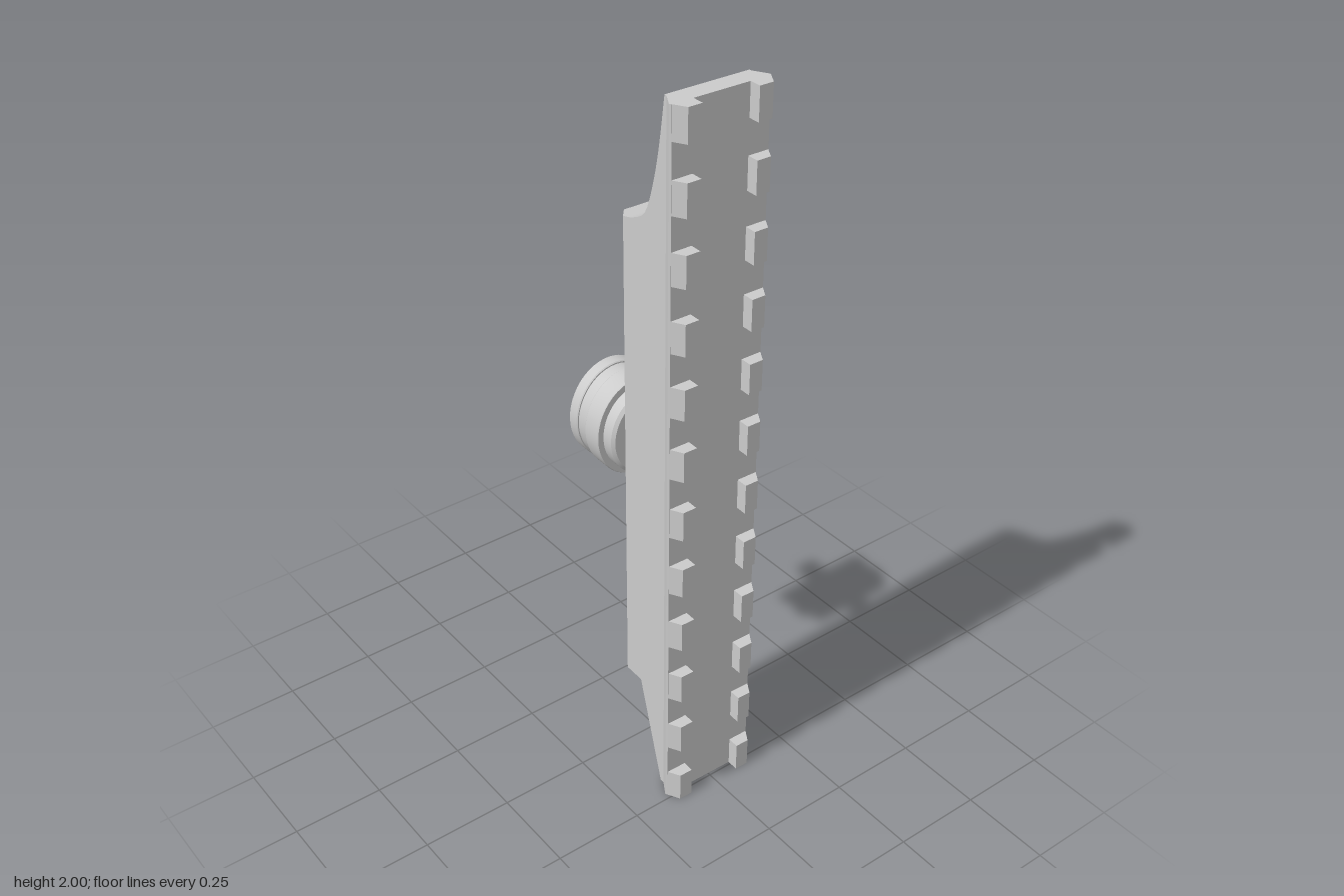
import * as THREE from 'three';
import { toCreasedNormals } from 'three/addons/utils/BufferGeometryUtils.js';

const material = new THREE.MeshStandardMaterial({ color: 0xcccccc });

function part(name, geometry) {
  const mesh = new THREE.Mesh(geometry, material);
  mesh.name = name;
  return mesh;
}

// Cross-section of the rail, cut off at the back depth zb; listed from the left back to the right back.
function railSection(zb) {
  const backWidth = 0.086 + 0.029 * Math.min(1, Math.max(0, zb) / 0.034);
  const half = [
    [backWidth, zb],
    [0.115, Math.max(0.034, zb)],
    [0.115, Math.max(0.197, zb)],
    [0.137, 0.235],
    [0.134, 0.241],
  ];
  return [...half, ...half.map(([x, z]) => [-x, z]).reverse()];
}

// Loft a list of [y, backDepth] rings into a closed solid.
function loftRail(rings) {
  const positions = [], index = [];
  const n = 10;
  for (const [y, zb] of rings) {
    for (const [x, z] of railSection(zb)) positions.push(x, y, z);
  }
  for (let r = 0; r < rings.length - 1; r++) {
    for (let i = 0; i < n; i++) {
      const a = r * n + i, b = r * n + (i + 1) % n;
      index.push(a, a + n, b, b, a + n, b + n);
    }
  }
  // End caps, strips between mirrored points
  const top = (rings.length - 1) * n;
  for (let i = 0; i < n / 2 - 1; i++) {
    const a = i, b = i + 1, c = n - 2 - i, d = n - 1 - i;
    index.push(a, b, c, a, c, d);
    index.push(top + a, top + c, top + b, top + a, top + d, top + c);
  }
  const geometry = new THREE.BufferGeometry();
  geometry.setAttribute('position', new THREE.Float32BufferAttribute(positions, 3));
  geometry.setIndex(index);
  return toCreasedNormals(geometry.toNonIndexed(), 0.45);
}

// Prism standing along y from an (x, z) outline.
function toothGeometry(outline, height) {
  const shape = new THREE.Shape(outline.map(([x, z]) => new THREE.Vector2(x, -z)));
  const geometry = new THREE.ExtrudeGeometry(shape, { depth: height, bevelEnabled: false });
  return geometry.rotateX(-Math.PI / 2);
}

export function createModel() {
  const model = new THREE.Group();
  model.name = 'railMount';

  // Rail body: sloped foot, deep middle block, swept upper end
  const sweep = new THREE.SplineCurve([
    [1.653, 0.034], [1.664, 0.072], [1.695, 0.118], [1.77, 0.147], [1.87, 0.17], [2, 0.19],
  ].map(([y, z]) => new THREE.Vector2(y, z)));
  const rings = [[0, 0.185], [0.3, 0.095], [0.3, -0.003], [1.645, -0.003]];
  for (const p of sweep.getPoints(20)) rings.push([p.x, p.y]);
  model.add(part('railBody', loftRail(rings)));

  // Two rows of teeth along the front edges
  const teeth = new THREE.Group();
  teeth.name = 'railTeeth';
  const count = 12, height = 0.085, pitch = (2 - height) / (count - 1);
  const outline = [[0.077, 0.235], [0.137, 0.235], [0.115, 0.273], [0.077, 0.273]];
  for (const side of [1, -1]) {
    const geometry = toothGeometry(outline.map(([x, z]) => [x * side, z]), height);
    for (let i = 0; i < count; i++) {
      const tooth = part(side > 0 ? 'leftTooth' : 'rightTooth', geometry);
      tooth.position.y = i * pitch;
      teeth.add(tooth);
    }
  }
  model.add(teeth);

  // Clamping screw: stepped knob on a thin shaft, pointing backwards
  const screw = new THREE.Group();
  screw.name = 'clampScrew';
  const profile = [
    [0, 0.038], [0.097, 0.038], [0.105, 0.046], [0.105, 0.079], [0.121, 0.079], [0.123, 0.083],
    [0.123, 0.133], [0.121, 0.136], [0.117, 0.136], [0.117, 0.172], [0.12, 0.172], [0.122, 0.175],
    [0.122, 0.205], [0.119, 0.208], [0, 0.208],
  ].map(([r, h]) => new THREE.Vector2(r, h));
  screw.add(part('knob', toCreasedNormals(new THREE.LatheGeometry(profile, 48), 0.5)));
  const shaft = part('shaft', new THREE.CylinderGeometry(0.0275, 0.0275, 0.295, 32));
  shaft.position.y = 0.1275;
  screw.add(shaft);
  screw.rotation.x = -Math.PI / 2;
  screw.scale.z = 1.16; // slightly taller than wide
  screw.position.set(0.002, 0.977, 0);
  model.add(screw);

  // The whole mount is turned very slightly
  model.rotation.y = -0.018;
  return model;
}
